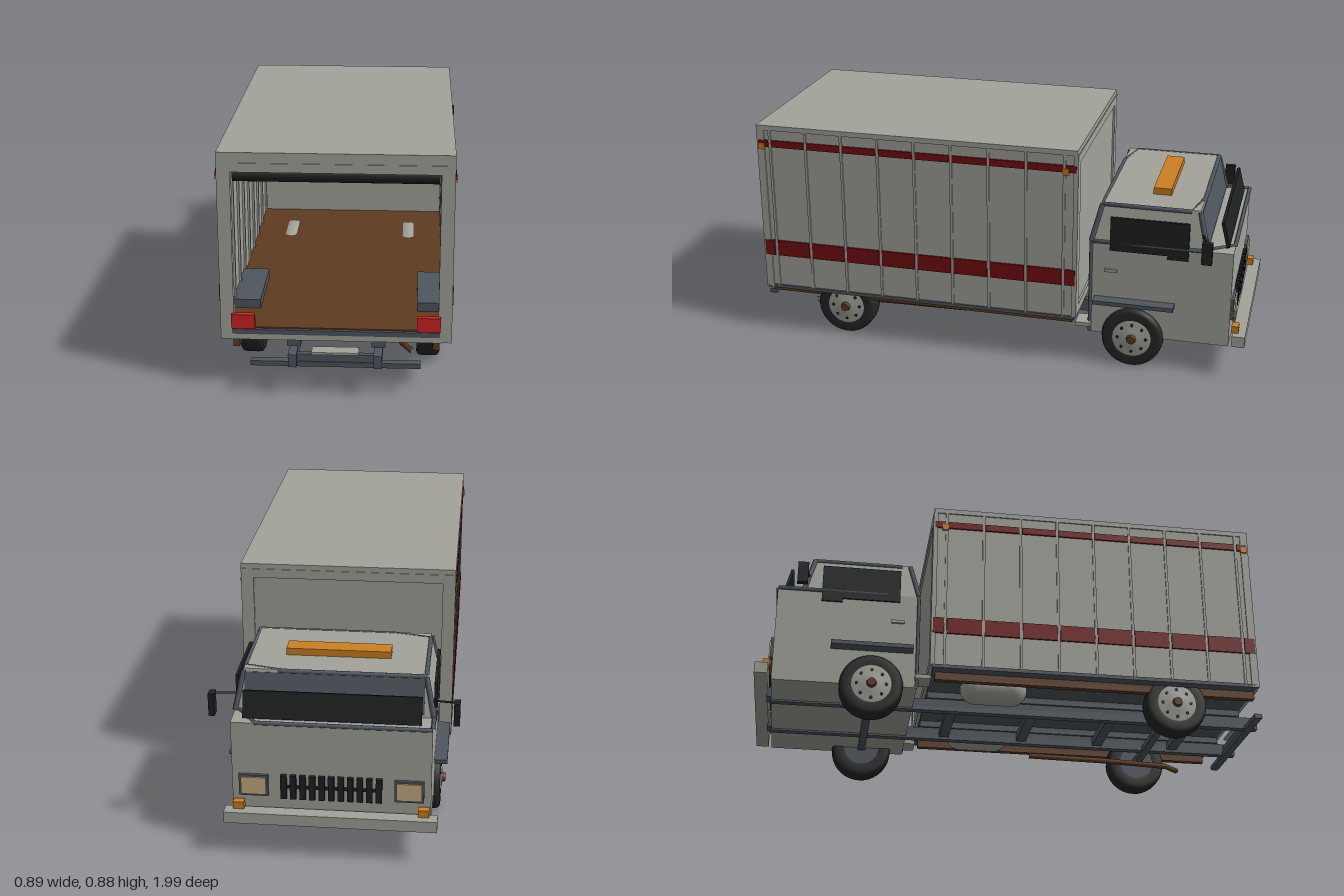
import * as THREE from 'three';

export function createModel() {
  const truck = new THREE.Group();
  truck.name = 'boxTruck';

  const mat = (name, color) => {
    const m = new THREE.MeshStandardMaterial({ color });
    m.name = name;
    return m;
  };
  const body = mat('bodyGrey', 0xa3a39c);
  const steel = mat('frameSteel', 0x50565e);
  const black = mat('glassBlack', 0x1f2021);
  const rubber = mat('tyreRubber', 0x262626);
  const stripe = mat('stripeRed', 0x720c10);
  const red = mat('tailRed', 0xcc2224);
  const amber = mat('amber', 0xcc8022);
  const brown = mat('woodBrown', 0x5e3b20);
  const cream = mat('lampCream', 0xc9b084);

  const add = (name, geometry, material, x = 0, y = 0, z = 0) => {
    const mesh = new THREE.Mesh(geometry, material);
    mesh.name = name;
    mesh.position.set(x, y, z);
    truck.add(mesh);
    return mesh;
  };
  // Box given by its limits on each axis
  const box = (name, material, x0, x1, y0, y1, z0, z1) =>
    add(name, new THREE.BoxGeometry(x1 - x0, y1 - y0, z1 - z0), material,
      (x0 + x1) / 2, (y0 + y1) / 2, (z0 + z1) / 2);
  // The same box on both sides of the truck
  const pair = (name, material, x0, x1, ...rest) => {
    box(name + 'Left', material, x0, x1, ...rest);
    box(name + 'Right', material, -x1, -x0, ...rest);
  };
  const bar = (name, material, points, r, sides = 8) => {
    const path = new THREE.CurvePath();
    const v = points.map(p => new THREE.Vector3(...p));
    for (let i = 1; i < v.length; i++) path.add(new THREE.LineCurve3(v[i - 1], v[i]));
    return add(name, new THREE.TubeGeometry(path, (v.length - 1) * 3, r, sides), material);
  };

  // Cargo box shell
  pair('cargoWall', body, 0.385, 0.403, 0.2, 0.87, -0.345, 0.925);
  box('cargoRoof', body, -0.408, 0.408, 0.86, 0.88, -0.35, 0.93);
  box('cargoFrontWall', body, -0.403, 0.403, 0.2, 0.87, -0.345, -0.325);
  box('cargoUnderfloor', steel, -0.4, 0.4, 0.188, 0.225, -0.34, 0.92);
  box('cargoFloor', brown, -0.384, 0.384, 0.225, 0.235, -0.325, 0.925);
  pair('bottomRail', steel, 0.395, 0.408, 0.188, 0.202, -0.345, 0.925);
  pair('frontPost', body, 0.36, 0.408, 0.2, 0.86, -0.353, -0.335);
  box('frontTopTrim', body, -0.36, 0.36, 0.825, 0.86, -0.353, -0.34);
  box('frontBottomTrim', body, -0.36, 0.36, 0.2, 0.235, -0.353, -0.34);

  // Rear opening frame and rolled door
  pair('rearPost', body, 0.36, 0.408, 0.19, 0.86, 0.9, 0.93);
  box('rearHeader', body, -0.36, 0.36, 0.81, 0.86, 0.9, 0.93);
  box('headerPlate', body, -0.38, 0.38, 0.815, 0.843, 0.93, 0.933);
  box('rearSill', body, -0.37, 0.37, 0.19, 0.212, 0.92, 0.933);
  box('sillStep', steel, -0.365, 0.365, 0.212, 0.23, 0.92, 0.937);
  const roll = add('rolledDoor', new THREE.CylinderGeometry(0.024, 0.024, 0.71, 20), black, 0, 0.792, 0.895);
  roll.rotation.z = Math.PI / 2;
  pair('wheelArch', steel, 0.285, 0.384, 0.23, 0.268, 0.46, 0.76);

  // Wall ribs with red stripe segments between them
  const edges = [0.93];
  for (let i = 0; i < 9; i++) edges.push(0.877 - i * 0.147);
  edges.push(-0.352);
  edges.forEach((z, i) => {
    if (i > 0 && i < 10) {
      pair('outerRib', body, 0.4, 0.408, 0.202, 0.86, z - 0.005, z + 0.005);
      pair('innerRib', body, 0.377, 0.387, 0.235, 0.86, z - 0.008, z + 0.008);
    }
    if (i < 10) {
      const za = edges[i + 1] + 0.006, zb = z - 0.006;
      pair('lowerStripe', stripe, 0.402, 0.4105, 0.333, 0.397, za, zb);
      pair('upperStripe', stripe, 0.402, 0.4105, 0.793, 0.82, za, zb);
    }
  });
  for (const z of [0.91, -0.305]) pair('markerLamp', amber, 0.4, 0.414, 0.783, 0.808, z - 0.012, z + 0.012);
  pair('tailLamp', red, 0.285, 0.368, 0.235, 0.289, 0.925, 0.945);

  // Chassis
  pair('chassisRail', steel, 0.135, 0.165, 0.115, 0.163, -0.94, 0.995);
  for (const z of [0.72, 0.4, 0.08, -0.24, -0.42]) box('crossMember', steel, -0.14, 0.14, 0.125, 0.155, z - 0.02, z + 0.02);
  box('rearBar', steel, -0.3, 0.3, 0.107, 0.125, 0.94, 0.97);
  box('rearBrace', steel, -0.14, 0.14, 0.125, 0.153, 0.945, 0.965);
  box('hitchPlate', body, -0.083, 0.083, 0.16, 0.169, 0.935, 0.985);
  pair('sideSkirt', brown, 0.342, 0.366, 0.157, 0.188, -0.33, 0.92);
  pair('subframe', steel, 0.125, 0.175, 0.163, 0.19, -0.34, 0.92);
  pair('rearStep', body, 0.3, 0.38, 0.152, 0.168, -0.405, -0.345);
  for (const s of [1, -1]) {
    const tank = add('fuelTank', new THREE.CapsuleGeometry(0.06, 0.14, 8, 20), body, s * 0.245, 0.18, -0.09);
    tank.rotation.x = Math.PI / 2;
  }
  bar('exhaustPipe', brown, [[0.235, 0.102, 0.13], [0.235, 0.098, 0.45], [0.232, 0.086, 0.74], [0.27, 0.083, 0.775]], 0.011, 10);

  // Wheels: rounded tyre, dished rim, lug holes and hub cap
  const tyreShape = [[0.07, -0.04], [0.105, -0.043], [0.117, -0.036], [0.12, -0.02],
    [0.12, 0.02], [0.117, 0.036], [0.105, 0.043], [0.07, 0.04]].map(p => new THREE.Vector2(...p));
  const rimShape = [[0, 0.047], [0.035, 0.047], [0.062, 0.038], [0.074, 0.043], [0.077, 0.036]]
    .reverse().map(p => new THREE.Vector2(...p));
  const tyreGeo = new THREE.LatheGeometry(tyreShape, 36);
  const rimGeo = new THREE.LatheGeometry(rimShape, 36);
  const backGeo = new THREE.CylinderGeometry(0.072, 0.072, 0.07, 28);
  const capGeo = new THREE.CylinderGeometry(0.016, 0.02, 0.016, 16);
  const lugGeo = new THREE.CylinderGeometry(0.006, 0.006, 0.006, 8);
  for (const z of [0.607, -0.567]) {
    box('axle', steel, -0.29, 0.29, 0.108, 0.132, z - 0.015, z + 0.015);
    for (const s of [1, -1]) {
      const wheel = new THREE.Group();
      wheel.name = 'wheel';
      const part = (name, g, m, x = 0, y = 0, w = 0) => {
        const mesh = new THREE.Mesh(g, m);
        mesh.name = name;
        mesh.position.set(x, y, w);
        wheel.add(mesh);
      };
      part('tyre', tyreGeo, rubber);
      part('rim', rimGeo, body);
      part('wheelBack', backGeo, steel);
      part('hubCap', capGeo, brown, 0, 0.052, 0);
      for (let i = 0; i < 8; i++) {
        const a = i * Math.PI / 4;
        part('lugHole', lugGeo, black, Math.cos(a) * 0.055, 0.041, Math.sin(a) * 0.055);
      }
      wheel.rotation.z = -s * Math.PI / 2;
      wheel.position.set(s * (z > 0 ? 0.328 : 0.335), 0.12, z);
      truck.add(wheel);
    }
  }

  // Cab: lower body and tapered upper body
  box('cabLower', body, -0.355, 0.355, 0.122, 0.505, -0.937, -0.395);
  const upper = new THREE.BoxGeometry(0.71, 0.15, 0.445);
  const p = upper.attributes.position;
  for (let i = 0; i < p.count; i++) {
    if (p.getY(i) > 0) {
      p.setX(i, Math.sign(p.getX(i)) * 0.325);
      p.setZ(i, Math.sign(p.getZ(i)) * 0.187);
    }
  }
  upper.computeVertexNormals();
  add('cabUpper', upper, body, 0, 0.579, -0.6175);

  // Cab edge trim
  const rim = (name, x, y, z0, z1, r) =>
    bar(name, steel, [[-x, y, z0], [x, y, z0], [x, y, z1], [-x, y, z1], [-x, y, z0]], r);
  rim('beltTrim', 0.355, 0.506, -0.935, -0.397, 0.008);
  rim('roofTrim', 0.323, 0.648, -0.803, -0.432, 0.009);
  for (const s of [1, -1]) {
    bar('frontPillar', steel, [[s * 0.354, 0.506, -0.838], [s * 0.324, 0.648, -0.803]], 0.01);
    bar('backPillar', steel, [[s * 0.354, 0.506, -0.397], [s * 0.324, 0.648, -0.432]], 0.01);
    bar('cornerTrim', steel, [[s * 0.354, 0.125, -0.397], [s * 0.354, 0.506, -0.397]], 0.007);
    // Mirrors
    box('mirror', black, s * 0.435 - 0.011, s * 0.435 + 0.011, 0.49, 0.575, -0.865, -0.825);
    bar('mirrorArm', black, [[s * 0.345, 0.565, -0.82], [s * 0.435, 0.572, -0.845]], 0.004, 6);
  }
  const header = box('frontHeader', steel, -0.32, 0.32, 0.515, 0.645, -0.826, -0.82);
  header.rotation.x = 0.24;

  // Windows
  const screen = box('windscreen', black, -0.315, 0.315, 0.51, 0.61, -0.905, -0.893);
  screen.rotation.x = 0.25;
  pair('sideWindow', black, 0.351, 0.362, 0.475, 0.61, -0.77, -0.47);
  pair('windowCorner', black, 0.351, 0.362, 0.46, 0.475, -0.77, -0.69);
  pair('doorHandle', body, 0.35, 0.364, 0.385, 0.397, -0.5, -0.45);
  pair('wheelStep', steel, 0.35, 0.404, 0.262, 0.278, -0.725, -0.415);

  // Roof beacon, bumper, lamps and grille
  box('roofBeacon', amber, -0.19, 0.19, 0.65, 0.68, -0.675, -0.605);
  box('frontBumper', body, -0.38, 0.38, 0.135, 0.178, -1.0, -0.95);
  pair('bumperMount', steel, 0.12, 0.18, 0.125, 0.165, -0.955, -0.93);
  pair('turnLamp', amber, 0.31, 0.35, 0.178, 0.206, -0.972, -0.945);
  pair('headlampSurround', steel, 0.225, 0.33, 0.222, 0.305, -0.948, -0.93);
  pair('headlamp', cream, 0.233, 0.322, 0.23, 0.297, -0.953, -0.94);
  for (let i = 0; i < 11; i++) {
    const x = -0.17 + i * 0.034;
    box('grilleSlat', black, x - 0.011, x + 0.011, 0.215, 0.308, -0.952, -0.93);
  }
  box('grilleBar', black, -0.18, 0.18, 0.255, 0.265, -0.945, -0.93);

  return truck;
}
